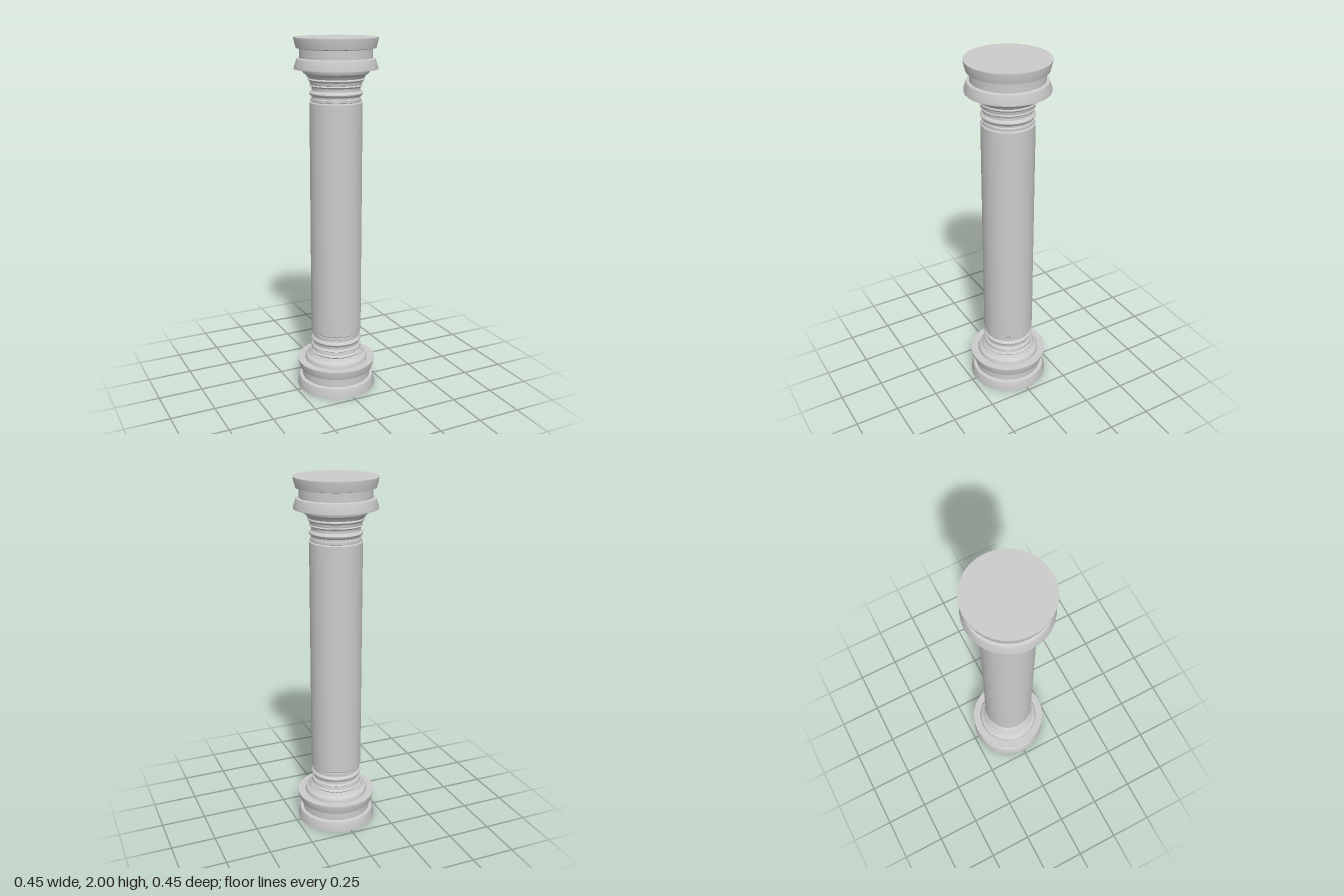
import * as THREE from 'three';
import { toCreasedNormals } from 'three/addons/utils/BufferGeometryUtils.js';

const SIDES = 32;
const HEIGHT = 2;
const material = new THREE.MeshStandardMaterial({ color: 0xcccccc });

// Turned part from [radius, y] pairs listed bottom to top
function turned(name, profile) {
  const points = profile.map(([r, y]) => new THREE.Vector2(r, y));
  const mesh = new THREE.Mesh(toCreasedNormals(new THREE.LatheGeometry(points, SIDES), 0.5), material);
  mesh.name = name;
  return mesh;
}

// Half-round bead between two heights
function bead(r, bulge, y0, y1, steps = 6) {
  return Array.from({ length: steps + 1 }, (_, i) => {
    const t = i / steps;
    return [r + bulge * Math.sin(Math.PI * t), y0 + (y1 - y0) * t];
  });
}

// Same profile turned upside down for the column's top
const flip = (profile) => profile.map(([r, y]) => [r, HEIGHT - y]).reverse();

export function createModel() {
  const column = new THREE.Group();
  column.name = 'column';

  // Plinth: flared foot, recessed band, flared lip
  const plinth = [
    [0, 0], [0.226, 0], [0.226, 0.008], [0.214, 0.056], [0.196, 0.06],
    [0.196, 0.108], [0.211, 0.112], [0.226, 0.158], [0.226, 0.165], [0, 0.165],
  ];

  // Moulding: sweeping cove, stepped rings and beads up to the shaft
  const moulding = [
    [0.182, 0.164], [0.181, 0.175], [0.176, 0.186], [0.167, 0.192], [0.162, 0.195],
    [0.156, 0.204], [0.151, 0.212],
    ...bead(0.146, 0.006, 0.213, 0.228),
    [0.143, 0.23], [0.14, 0.246],
    ...bead(0.137, 0.006, 0.247, 0.258),
    [0.133, 0.26], [0.131, 0.27], [0.133, 0.279],
    ...bead(0.135, 0.01, 0.28, 0.306),
    [0.133, 0.308], [0.133, 0.318], [0.138, 0.321], [0.138, 0.334], [0.133, 0.336], [0.133, 0.342],
  ];

  const shaft = [[0, 0.338], [0.14, 0.338], [0.144, 0.343], [0.144, 1.657], [0.14, 1.662], [0, 1.662]];

  column.add(
    turned('basePlinth', plinth),
    turned('baseMoulding', moulding),
    turned('shaft', shaft),
    turned('capitalMoulding', flip(moulding)),
    turned('capitalSlab', flip(plinth)),
  );
  return column;
}
